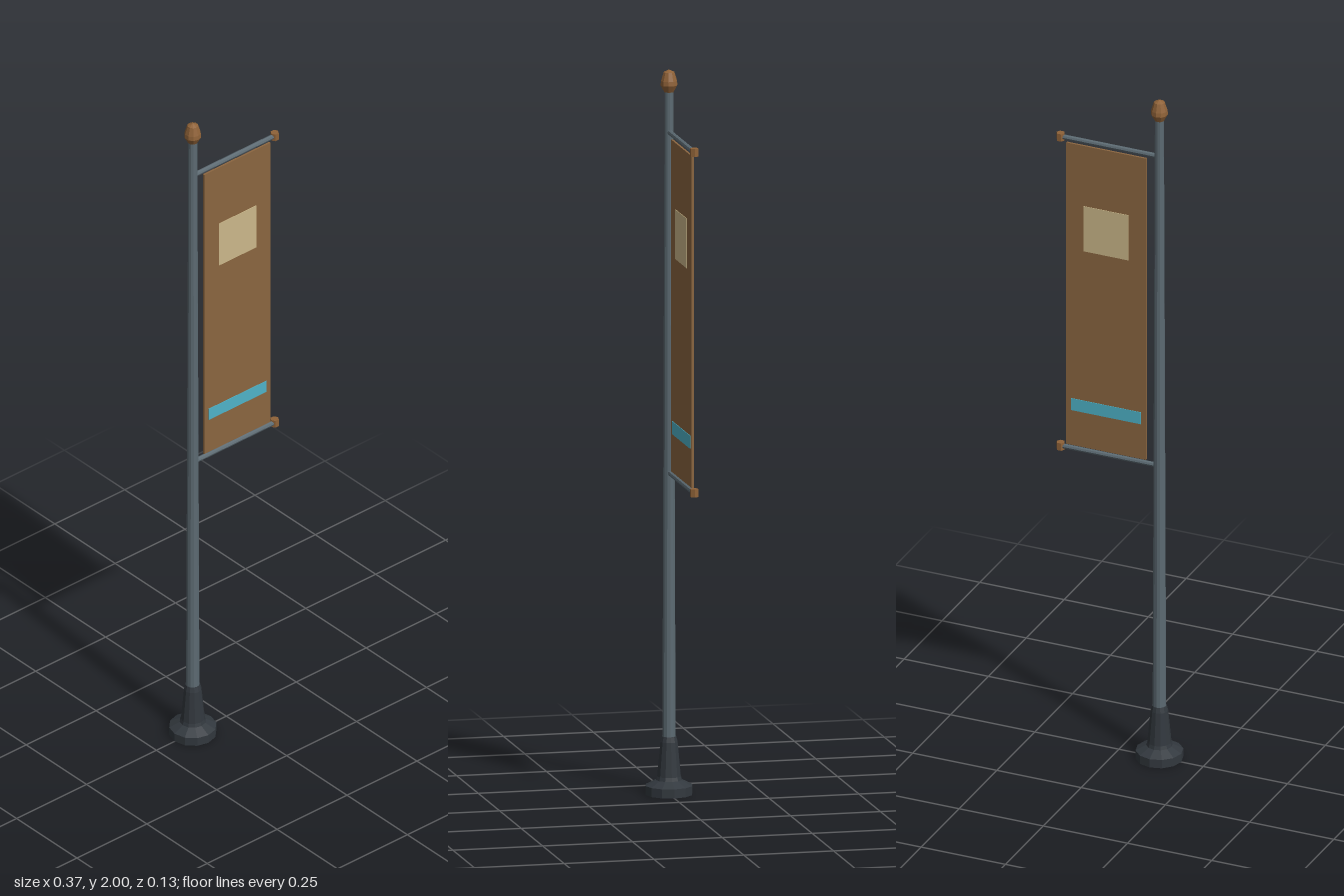
import * as THREE from 'three';

export function createModel() {
  const root = new THREE.Group();
  root.name = 'bannerPole';

  const material = (name, color) => {
    const m = new THREE.MeshStandardMaterial({ color, flatShading: true });
    m.name = name;
    return m;
  };
  const iron = material('darkIron', 0x32383e);
  const steel = material('greySteel', 0x5c6a72);
  const bronze = material('bronze', 0x8f6238);
  const cloth = material('brownCloth', 0x8b6640);
  const cream = material('cream', 0xcbb88a);
  const teal = material('teal', 0x4fb3c8);

  const add = (name, geometry, mat, x, y, z = 0) => {
    const mesh = new THREE.Mesh(geometry, mat);
    mesh.name = name;
    mesh.position.set(x, y, z);
    root.add(mesh);
    return mesh;
  };
  const lathe = (points, sides) =>
    new THREE.LatheGeometry(points.map(([r, y]) => new THREE.Vector2(r, y)), sides);

  const poleX = -0.12;

  // Stepped foot with a tapering sleeve
  add('base', lathe([
    [0, 0], [0.065, 0], [0.065, 0.025], [0.036, 0.04],
    [0.033, 0.05], [0.024, 0.145], [0.02, 0.16], [0, 0.16],
  ], 12), iron, poleX, 0);

  // Tapered shaft
  add('pole', new THREE.CylinderGeometry(0.0125, 0.0185, 1.8, 12), steel, poleX, 1.045);

  // Acorn finial
  add('finial', lathe([
    [0, 1.938], [0.013, 1.938], [0.0235, 1.957], [0.0225, 1.969],
    [0.015, 1.993], [0, 2.0],
  ], 10), bronze, poleX, 0);

  // Two arms, each with a small end cap
  for (const [label, y] of [['upper', 1.828], ['lower', 0.888]]) {
    const arm = add(label + 'Arm', new THREE.CylinderGeometry(0.007, 0.007, 0.285, 8), steel, 0.0225, y);
    arm.rotation.z = Math.PI / 2;
    const cap = add(label + 'ArmCap', new THREE.CylinderGeometry(0.0118, 0.0118, 0.022, 6), bronze, 0.173, y);
    cap.rotation.y = Math.PI / 6;
  }

  // Hanging banner
  add('banner', new THREE.BoxGeometry(0.237, 0.916, 0.006), cloth, 0.037, 1.356);

  // Panel and stripe on both faces
  for (const [side, z] of [['front', 0.0035], ['back', -0.0035]]) {
    add(side + 'Panel', new THREE.BoxGeometry(0.133, 0.137, 0.002), cream, 0.037, 1.563, z);
    add(side + 'Stripe', new THREE.BoxGeometry(0.207, 0.036, 0.002), teal, 0.037, 1.022, z);
  }

  return root;
}
